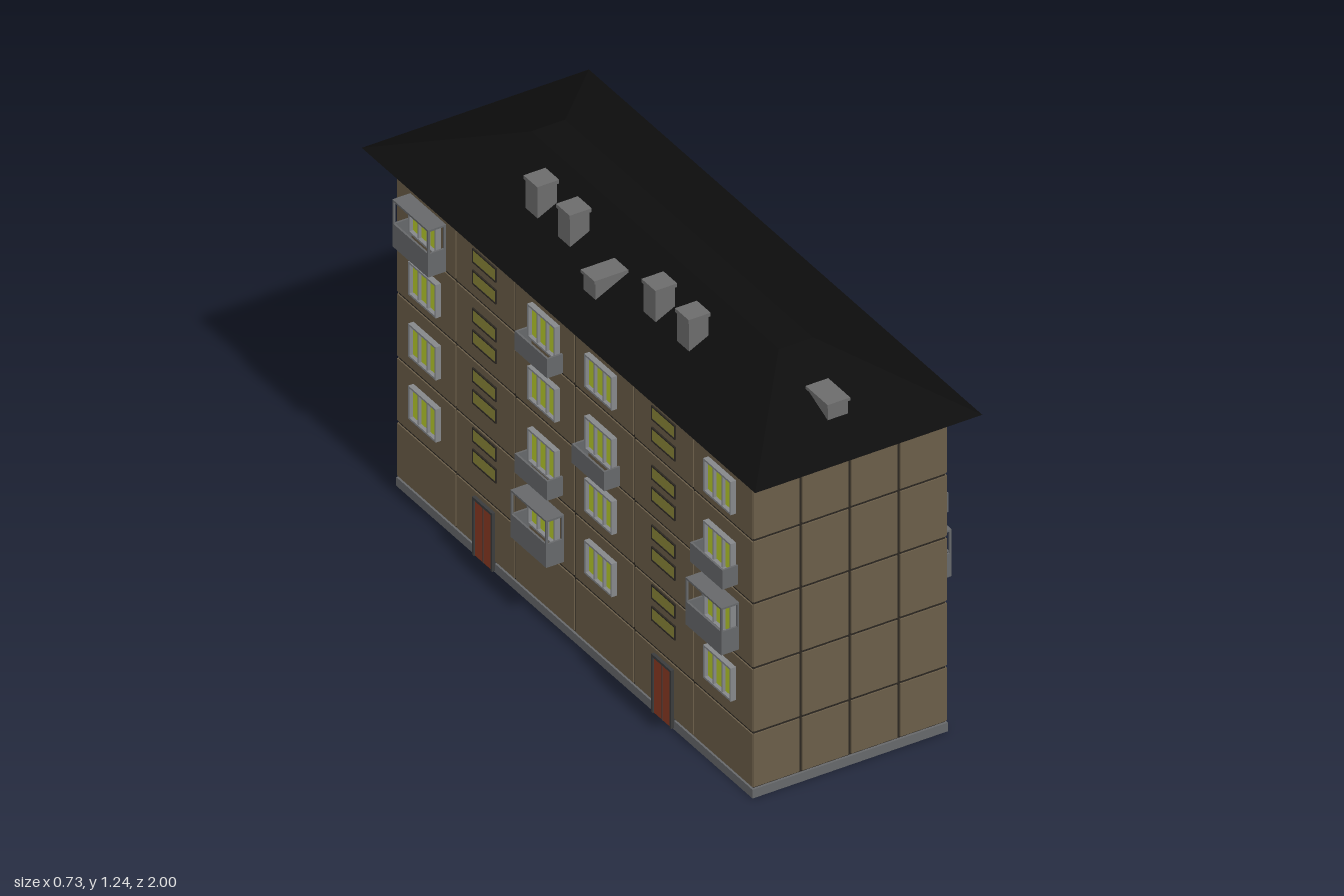
import * as THREE from 'three';

const mat = (color, side = THREE.FrontSide) => new THREE.MeshStandardMaterial({ color, side });
const M = {
  wall: mat(0x6a5d48), seam: mat(0x2b2721, THREE.DoubleSide), roof: mat(0x0d0d0d),
  grey: mat(0x6c6c6c), concrete: mat(0x66686a), frame: mat(0x85878a), dark: mat(0x3a3b3c),
  glass: mat(0xb8cc2c), stairGlass: mat(0x8a8638), door: mat(0x8a3a22),
};
const HX = 0.31, HZ = 0.905;
const ROWS = [0.03, 0.209, 0.418, 0.627, 0.831, 1.04];
const STOREYS = [0.324, 0.525, 0.726, 0.927]; // window centre heights

function box(parent, name, m, w, h, d, x, y, z) {
  const mesh = new THREE.Mesh(new THREE.BoxGeometry(w, h, d), m);
  mesh.name = name;
  mesh.position.set(x, y, z);
  parent.add(mesh);
  return mesh;
}

function group(parent, name) {
  const g = new THREE.Group();
  g.name = name;
  parent.add(g);
  return g;
}

// Rectangular tube standing upright, open at both ends
function ring(parent, name, m, hx, hz, t, y0, y1) {
  const h = y1 - y0, y = (y0 + y1) / 2;
  for (const s of [-1, 1]) {
    box(parent, name, m, t, h, hz * 2, s * (hx - t / 2), y, 0);
    box(parent, name, m, (hx - t) * 2, h, t, 0, y, s * (hz - t / 2));
  }
}

// Wall panels with dark joints between them
function buildWalls(root) {
  const g = group(root, 'walls'), t = 0.012, gap = 0.009;
  ring(g, 'jointCore', M.seam, HX - 0.004, HZ - 0.004, 0.004, 0.03, 1.06);
  const zs = [-HZ, -0.605, -0.302, 0, 0.302, 0.605, HZ];
  const xs = [-HX, -0.156, 0, 0.156, HX];
  for (let r = 0; r < 5; r++) {
    const h = ROWS[r + 1] - ROWS[r] - gap, y = (ROWS[r] + ROWS[r + 1]) / 2;
    for (const s of [-1, 1]) {
      for (let i = 0; i < 6; i++)
        box(g, 'sidePanel', M.wall, t, h, zs[i + 1] - zs[i] - (i % 5 ? gap : gap / 2),
          s * (HX - t / 2), y, (zs[i] + zs[i + 1]) / 2);
      for (let i = 0; i < 4; i++)
        box(g, 'endPanel', M.wall, xs[i + 1] - xs[i] - gap, h, t,
          (xs[i] + xs[i + 1]) / 2, y, s * (HZ - t / 2));
    }
  }
  ring(g, 'cornice', M.wall, HX, HZ, t, 1.044, 1.06);
  ring(root, 'plinth', M.concrete, HX + 0.001, HZ + 0.001, 0.014, 0, 0.028);
}

// Three-pane window with a projecting frame
function buildWindow(root, s, y, z) {
  const g = group(root, 'window'), w = 0.14, h = 0.107, d = 0.018, b = 0.006;
  const x = s * (HX + d / 2 - 0.001);
  box(g, 'glass', M.glass, 0.022, h - b, w - b, s * (HX - 0.006), y, z);
  for (const k of [-1, 1]) {
    box(g, 'frameSide', M.frame, d, h, b, x, y, z + k * (w - b) / 2);
    box(g, 'frameRail', M.frame, d, b, w, x, y + k * (h - b) / 2, z);
    box(g, 'mullion', M.frame, d * 0.8, h - b, 0.005, x, y, z + k * 0.023);
  }
}

// Stairwell light: low pane in a thin dark surround
function buildStairWindow(root, s, y, z) {
  const g = group(root, 'stairWindow'), w = 0.113, h = 0.037, b = 0.004;
  box(g, 'stairGlass', M.stairGlass, 0.018, h, w, s * (HX - 0.006), y, z);
  for (const k of [-1, 1]) {
    box(g, 'surroundRail', M.seam, 0.006, b, w + b * 2, s * (HX + 0.002), y + k * (h + b) / 2, z);
    box(g, 'surroundSide', M.seam, 0.006, h, b, s * (HX + 0.002), y, z + k * (w + b) / 2);
  }
}

// Balcony tray, optionally with posts and a canopy
function buildBalcony(root, s, y0, z, roofed) {
  const g = group(root, roofed ? 'coveredBalcony' : 'balcony');
  const w = roofed ? 0.182 : 0.165, d = roofed ? 0.057 : 0.05, h = roofed ? 0.075 : 0.062, t = 0.006;
  const x = s * (HX + d / 2), xo = s * (HX + d - t / 2);
  box(g, 'balconyFloor', M.concrete, d, t, w, x, y0 + t / 2, z);
  box(g, 'parapet', M.concrete, t, h, w, xo, y0 + h / 2, z);
  for (const k of [-1, 1])
    box(g, 'parapetSide', M.concrete, d, h, t, x, y0 + h / 2, z + k * (w - t) / 2);
  if (!roofed) return;
  const H = 0.152;
  box(g, 'canopy', M.concrete, d, t, w, x, y0 + H - t / 2, z);
  for (const k of [-1, 1])
    for (const px of [xo, s * (HX + t / 2)])
      box(g, 'post', M.concrete, t, H, t, px, y0 + H / 2, z + k * (w - t) / 2);
}

function buildFacade(root, s) {
  const g = group(root, s > 0 ? 'leftFacade' : 'rightFacade');
  STOREYS.forEach((y, i) => {
    for (const z of [-0.75, -0.145, 0.145, 0.75]) buildWindow(g, s, y, z);
    for (const z of [-0.455, 0.455])
      for (const dy of [0, 0.07]) buildStairWindow(g, s, 0.316 + i * 0.193 + dy, z);
  });
  // base height, z, covered
  const balconies = [
    [0.836, -0.143, false], [0.44, -0.143, false], [0.633, 0.147, false], [0.65, 0.748, false],
    [0.833, -0.745, true], [0.443, 0.745, true], [0.229, -0.145, true],
  ];
  for (const [y, z, roofed] of balconies) buildBalcony(g, s, y, z, roofed);
}

// Entrance door with dark jambs and lintel
function buildDoor(root, z) {
  const g = group(root, 'entrance'), w = 0.085, h = 0.18;
  box(g, 'door', M.door, 0.026, h, w, -HX + 0.007, h / 2 + 0.004, z);
  box(g, 'doorPost', M.dark, 0.008, h, 0.004, -HX - 0.004, h / 2 + 0.004, z);
  box(g, 'lintel', M.dark, 0.02, 0.008, w + 0.016, -HX, h + 0.008, z);
  for (const k of [-1, 1])
    box(g, 'jamb', M.dark, 0.02, h, 0.008, -HX, h / 2 + 0.004, z + k * (w / 2 + 0.004));
}

// Hipped roof with a narrow flat top, plus chimneys and vents
function buildRoof(root) {
  const geo = new THREE.BoxGeometry(0.724, 0.152, 2);
  const p = geo.attributes.position;
  for (let i = 0; i < p.count; i++)
    if (p.getY(i) > 0) p.setXYZ(i, Math.sign(p.getX(i)) * 0.055, p.getY(i), Math.sign(p.getZ(i)) * 0.63);
  geo.computeVertexNormals();
  const roof = new THREE.Mesh(geo, M.roof);
  roof.name = 'roof';
  roof.position.y = 1.134;
  root.add(roof);

  for (const z of [-0.385, -0.22, 0.215, 0.385]) {
    box(root, 'chimney', M.grey, 0.062, 0.12, 0.062, -0.175, 1.17, z);
    box(root, 'chimneyCap', M.grey, 0.07, 0.012, 0.07, -0.175, 1.234, z);
  }
  box(root, 'sideVent', M.grey, 0.1, 0.075, 0.062, -0.213, 1.125, 0);
  box(root, 'sideVentCap', M.grey, 0.108, 0.01, 0.07, -0.215, 1.166, 0);
  box(root, 'endVent', M.grey, 0.064, 0.06, 0.104, -0.017, 1.132, 0.818);
  box(root, 'endVentCap', M.grey, 0.072, 0.01, 0.112, -0.017, 1.16, 0.82);
}

export function createModel() {
  const root = new THREE.Group();
  root.name = 'apartmentBlock';
  buildWalls(root);
  for (const s of [1, -1]) buildFacade(root, s);
  for (const z of [-0.455, 0.455]) buildDoor(root, z);
  buildRoof(root);
  return root;
}
